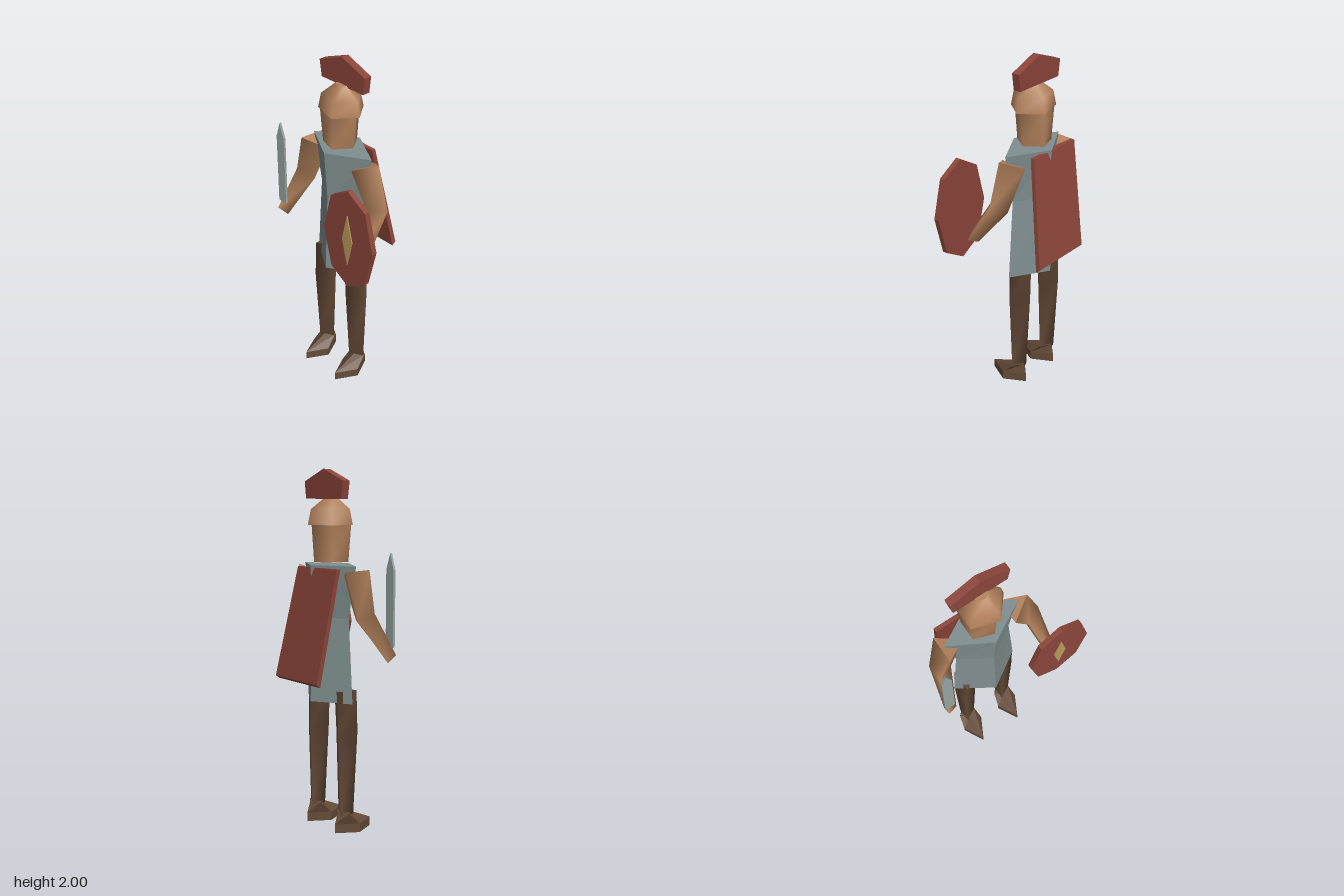
import * as THREE from 'three';

const mat = (name, color) => Object.assign(new THREE.MeshStandardMaterial({ color }), { name });

// Capped loft through rings { c: centre, u, v: half axes }, listed bottom to top
function loft(rings, n, phase, smooth) {
  const pos = [], idx = [];
  const addRing = (r) => {
    const start = pos.length / 3;
    for (let k = 0; k < n; k++) {
      const a = phase + (k / n) * Math.PI * 2;
      const p = r.c.clone().addScaledVector(r.u, Math.cos(a)).addScaledVector(r.v, Math.sin(a));
      pos.push(p.x, p.y, p.z);
    }
    return start;
  };
  const starts = rings.map(addRing);
  for (let i = 0; i < starts.length - 1; i++) {
    for (let k = 0; k < n; k++) {
      const j = (k + 1) % n;
      const a = starts[i] + k, b = starts[i] + j, c = starts[i + 1] + k, d = starts[i + 1] + j;
      idx.push(a, c, b, b, c, d);
    }
  }
  const lo = addRing(rings[0]), hi = addRing(rings[rings.length - 1]);
  for (let k = 1; k < n - 1; k++) {
    idx.push(lo, lo + k, lo + k + 1, hi, hi + k + 1, hi + k);
  }
  let g = new THREE.BufferGeometry();
  g.setAttribute('position', new THREE.Float32BufferAttribute(pos, 3));
  g.setIndex(idx);
  if (!smooth) g = g.toNonIndexed();
  g.computeVertexNormals();
  return g;
}

// Horizontal rings given as [x, y, z, rx, rz]
const upright = (rows, n, phase, smooth) => loft(rows.map(([x, y, z, rx, rz]) => ({
  c: new THREE.Vector3(x, y, z),
  u: new THREE.Vector3(rx, 0, 0),
  v: new THREE.Vector3(0, 0, rz),
})), n, phase, smooth);

// Limb with rings square to its path; rows are [x, y, z, r]
function limb(rows, n) {
  const pts = rows.map(([x, y, z]) => new THREE.Vector3(x, y, z));
  return loft(rows.map((row, i) => {
    const t = new THREE.Vector3();
    if (i > 0) t.add(pts[i].clone().sub(pts[i - 1]).normalize());
    if (i < pts.length - 1) t.add(pts[i + 1].clone().sub(pts[i]).normalize());
    t.normalize();
    const u = new THREE.Vector3(1, 0, 0).addScaledVector(t, -t.x).normalize();
    const v = u.clone().cross(t);
    return { c: pts[i], u: u.multiplyScalar(row[3]), v: v.multiplyScalar(row[3]) };
  }), n, 0, true);
}

// Flat plate from a front outline
function plate(points, z, depth) {
  const shape = new THREE.Shape(points.map(([x, y]) => new THREE.Vector2(x, y)));
  return new THREE.ExtrudeGeometry(shape, { depth, bevelEnabled: false }).translate(0, 0, z);
}

export function createModel() {
  const model = new THREE.Group();
  model.name = 'soldier';
  const skin = mat('tan', 0xb5835d);
  const leather = mat('darkBrown', 0x644a37);
  const cloth = mat('greyBlue', 0x7f8e8f);
  const red = mat('red', 0x8c453a);
  const gold = mat('gold', 0xb99a5b);
  const steel = mat('steel', 0x98a5a3);

  const add = (name, geometry, material) => {
    const mesh = new THREE.Mesh(geometry, material);
    mesh.name = name;
    model.add(mesh);
  };
  const cx = -0.08, cz = -0.025;

  // Tunic: diamond section, narrowed at the waist
  add('tunic', upright([
    [cx, 0.735, cz, 0.207, 0.132],
    [cx, 1.2, cz, 0.172, 0.112],
    [cx, 1.485, cz, 0.233, 0.132],
  ], 4, 0, false), cloth);

  // Head, helmet and crest
  add('head', upright([
    [-0.092, 1.5, cz, 0.098, 0.098],
    [-0.09, 1.705, cz, 0.12, 0.109],
  ], 5, 0, true), skin);
  add('helmet', upright([
    [cx, 1.7, cz, 0.136, 0.124],
    [cx, 1.785, cz, 0.12, 0.106],
    [cx, 1.85, -0.02, 0.042, 0.026],
  ], 5, 0, true), skin);
  add('crest', plate([
    [-0.24, 1.84], [0.08, 1.84], [0.093, 1.935], [cx, 2], [-0.255, 1.935],
  ], -0.07, 0.045), red);

  // Arms: three-sided, wrist to shoulder
  add('rightArm', limb([
    [-0.408, 0.985, 0.135, 0.04],
    [-0.362, 1.21, -0.015, 0.068],
    [-0.285, 1.447, cz, 0.092],
  ], 3), skin);
  add('leftArm', limb([
    [0.25, 0.985, 0.135, 0.04],
    [0.218, 1.21, -0.015, 0.068],
    [0.122, 1.437, cz, 0.092],
  ], 3), skin);

  // Legs and feet
  for (const [side, x, hip] of [['right', -0.215, -0.2], ['left', 0.05, 0.046]]) {
    add(side + 'Leg', upright([
      [x, 0.1, cz, 0.051, 0.051],
      [x, 0.57, cz, 0.073, 0.073],
      [hip, 0.8, cz, 0.076, 0.076],
    ], 3, 0, true), leather);
    add(side + 'Foot', upright([
      [x, 0, 0.035, 0.066, 0.124],
      [x, 0.05, 0.035, 0.066, 0.124],
      [x, 0.115, -0.031, 0.052, 0.038],
    ], 4, 0, false), leather);
  }

  // Sword
  add('sword', plate([
    [-0.438, 1.05], [-0.377, 1.05], [-0.377, 1.465], [-0.408, 1.555], [-0.438, 1.465],
  ], 0.13, 0.013), steel);

  // Shield and its diamond boss
  const sx = 0.25, sy = 1.143;
  add('shield', plate([
    [sx, sy - 0.3], [sx + 0.13, sy - 0.223], [sx + 0.187, sy], [sx + 0.13, sy + 0.223],
    [sx, sy + 0.3], [sx - 0.13, sy + 0.223], [sx - 0.187, sy], [sx - 0.13, sy - 0.223],
  ], 0.208, 0.031), red);
  add('shieldBoss', plate([
    [sx, sy - 0.155], [sx + 0.038, sy], [sx, sy + 0.155], [sx - 0.038, sy],
  ], 0.239, 0.006), gold);

  // Cape: a box skewed down and back
  const cape = new THREE.BoxGeometry(1, 1, 1).toNonIndexed();
  const p = cape.attributes.position;
  for (let i = 0; i < p.count; i++) {
    const top = p.getY(i) > 0, left = p.getX(i) > 0, front = p.getZ(i) > 0;
    const x = left ? (top ? 0.055 : 0.13) : (top ? -0.3 : -0.26);
    const y = top ? 1.472 : (front ? 0.843 : 0.86);
    const z = (top ? -0.12 : -0.222) - (front ? 0 : 0.024);
    p.setXYZ(i, x, y, z);
  }
  cape.computeVertexNormals();
  add('cape', cape, red);

  return model;
}
